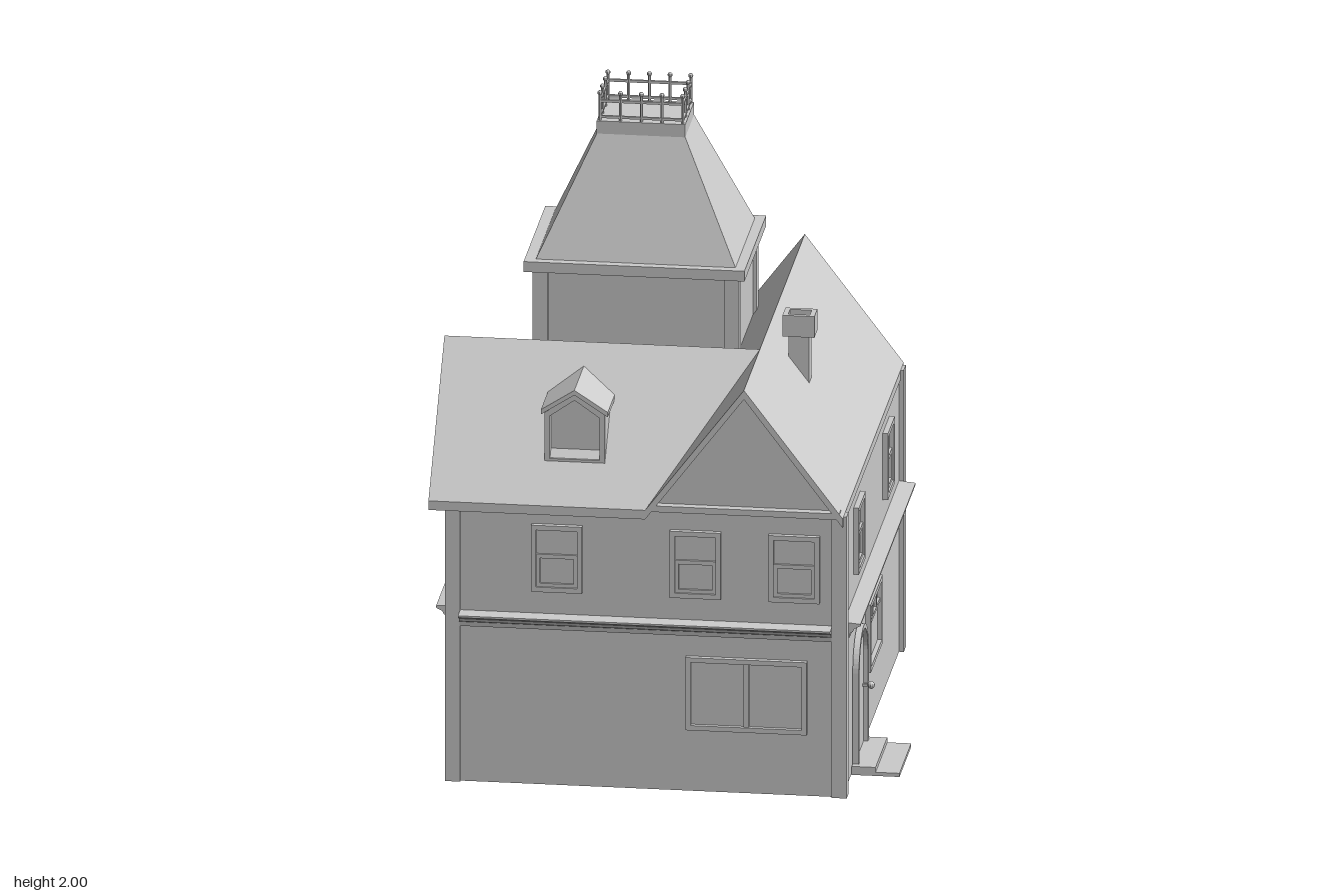
import * as THREE from 'three';

const mat = new THREE.MeshStandardMaterial({ color: 0xcccccc, flatShading: true, side: THREE.DoubleSide });
const SIDES = { front: 0, right: Math.PI / 2, back: Math.PI, left: -Math.PI / 2 };

function mesh(parent, name, geo) {
  const m = new THREE.Mesh(geo, mat);
  m.name = name;
  parent.add(m);
  return m;
}
// Box given by its limits
function box(parent, name, x0, x1, y0, y1, z0, z1) {
  const m = mesh(parent, name, new THREE.BoxGeometry(x1 - x0, y1 - y0, z1 - z0));
  m.position.set((x0 + x1) / 2, (y0 + y1) / 2, (z0 + z1) / 2);
  return m;
}
const poly = (pts) => new THREE.Shape(pts.map(([x, y]) => new THREE.Vector2(x, y)));
const rect = (x0, x1, y0, y1) => poly([[x0, y0], [x1, y0], [x1, y1], [x0, y1]]);
const extrude = (shape, depth) => new THREE.ExtrudeGeometry(shape, { depth, bevelEnabled: false, curveSegments: 12 });

// Group on a wall: u runs along the wall, d is the wall's coordinate
function onWall(parent, name, side, u, y, d) {
  const g = new THREE.Group();
  g.name = name;
  g.rotation.y = SIDES[side];
  if (side === 'front' || side === 'back') g.position.set(u, y, d);
  else g.position.set(d, y, u);
  parent.add(g);
  return g;
}
// Flat sloping slab with vertical thickness t
function slab(parent, name, pts, t = 0.03) {
  const v = pts.map((p) => new THREE.Vector3(...p));
  const n = v[1].clone().sub(v[0]).cross(v[2].clone().sub(v[0]));
  if (n.y < 0) v.reverse();
  const low = v.map((p) => p.clone().setY(p.y - t));
  const tri = [];
  for (let i = 0; i < v.length; i++) {
    const j = (i + 1) % v.length;
    if (i > 0 && j > 0) tri.push(v[0], v[i], v[j], low[0], low[j], low[i]);
    tri.push(v[i], low[i], low[j], v[i], low[j], v[j]);
  }
  const geo = new THREE.BufferGeometry().setFromPoints(tri);
  geo.computeVertexNormals();
  return mesh(parent, name, geo);
}
// Window with frame; bars are [x0, x1, y0, y1] as fractions of the opening
function windowUnit(parent, name, side, u, y0, y1, w, d, bars) {
  const g = onWall(parent, name, side, u, y0, d), h = y1 - y0, b = 0.016;
  const frame = rect(-w / 2, w / 2, 0, h);
  frame.holes.push(rect(-w / 2 + b, w / 2 - b, b, h - b));
  mesh(g, 'windowFrame', extrude(frame, 0.017));
  box(g, 'pane', -w / 2 + b, w / 2 - b, b, h - b, -0.005, 0.003);
  const X = (f) => -w / 2 + b + f * (w - 2 * b), Y = (f) => b + f * (h - 2 * b);
  for (const [x, x2, y, y2] of bars) box(g, 'windowBar', X(x), X(x2), Y(y), Y(y2), 0, 0.011);
}
const SASH = [[0, 1, 0.5, 0.57], [0, 0.09, 0, 0.5], [0.91, 1, 0, 0.5], [0.09, 0.91, 0, 0.06]];
const TWO = [[0.475, 0.525, 0, 1]];
const LIGHTS = [[0, 1, 0.66, 0.72], [0.32, 0.35, 0.72, 1], [0.65, 0.68, 0.72, 1]];
const THREE_PANES = [[0.31, 0.35, 0, 1], [0.65, 0.69, 0, 1]];
const TALL = [[0.46, 0.54, 0, 1], [0, 1, 0.66, 0.71]];

// Crown moulding along a wall
function ledge(parent, side, a, b, d, y = 0.56) {
  const g = onWall(parent, 'stringCourse', side, (a + b) / 2, y, d);
  const geo = extrude(poly([[-0.01, -0.045], [0.016, -0.045], [0.018, -0.03], [0.026, -0.026], [0.03, -0.016],
    [0.05, -0.006], [0.05, 0], [-0.01, 0.006]]), b - a);
  geo.translate(0, 0, -(b - a) / 2).rotateY(-Math.PI / 2);
  mesh(g, 'moulding', geo);
}
function archShape(w, h) {
  const s = new THREE.Shape(), r = w / 2;
  s.moveTo(-r, 0);
  s.lineTo(r, 0);
  s.lineTo(r, h - r);
  s.absarc(0, h - r, r, 0, Math.PI);
  s.lineTo(-r, 0);
  return s;
}
function door(parent, side, u, d) {
  const g = onWall(parent, 'door', side, u, 0, d);
  const frame = archShape(0.235, 0.445);
  frame.holes.push(archShape(0.2, 0.43));
  mesh(g, 'doorFrame', extrude(frame, 0.02));
  mesh(g, 'doorLeaf', extrude(archShape(0.2, 0.43), 0.006));
  const knob = mesh(g, 'doorKnob', new THREE.SphereGeometry(0.012, 10, 8));
  knob.position.set(0.082, 0.22, 0.032);
  box(g, 'knobStem', 0.078, 0.086, 0.216, 0.224, 0, 0.03);
  box(g, 'upperStep', -0.14, 0.14, 0, 0.028, 0, 0.075);
  box(g, 'lowerStep', -0.14, 0.14, 0, 0.012, 0.07, 0.15);
}

export function createModel() {
  const house = new THREE.Group();
  house.name = 'house';

  // Walls: two gabled wings and the tower
  const main = mesh(house, 'mainWingWalls', extrude(
    poly([[-0.035, 0], [0.575, 0], [0.575, 0.91], [0.27, 1.315], [-0.035, 0.91]]), 1.4));
  main.position.z = -0.7;
  const side = mesh(house, 'sideWingWalls', extrude(
    poly([[-0.7, 0], [0.01, 0], [0.01, 0.92], [-0.345, 1.315], [-0.7, 0.92]]), 0.9));
  side.rotation.y = Math.PI / 2;
  side.position.x = -0.655;
  box(house, 'towerWalls', -0.475, 0.148, 0, 1.45, -0.458, -0.008);

  // Corner posts, given by centre and height
  const posts = [[-0.647, 0.686, 0.93], [0.566, 0.686, 0.93], [0.566, -0.686, 0.93], [-0.024, -0.686, 0.93],
    [-0.647, 0.004, 0.93], [-0.464, -0.445, 1.45], [0.136, -0.445, 1.45], [-0.464, -0.022, 1.45], [0.136, -0.022, 1.45]];
  for (const [x, z, h] of posts) box(house, 'cornerPost', x - 0.024, x + 0.024, 0, h, z - 0.024, z + 0.024);

  // String courses
  ledge(house, 'front', -0.625, 0.543, 0.695);
  ledge(house, 'right', -0.662, 0.662, 0.577);
  ledge(house, 'back', 0, 0.543, -0.695);
  ledge(house, 'left', -0.662, -0.46, -0.033);
  ledge(house, 'left', 0.028, 0.662, -0.655);
  for (const y of [0.56, 1.07]) {
    ledge(house, 'back', -0.44, 0.11, -0.462, y);
    ledge(house, 'left', -0.42, -0.045, -0.477, y);
  }
  ledge(house, 'front', -0.44, 0.11, 0, 1.07);

  // Crossing gable roofs
  slab(house, 'mainRoofRight', [[0.27, 1.34, 0.73], [0.58, 0.93, 0.73], [0.58, 0.93, -0.735], [0.27, 1.34, -0.735]]);
  slab(house, 'mainRoofLeft', [[0.27, 1.34, 0.73], [-0.04, 0.93, 0.73], [-0.04, 0.93, -0.735], [0.27, 1.34, -0.735]]);
  slab(house, 'sideRoofFront', [[-0.72, 0.93, 0.73], [-0.04, 0.93, 0.73], [0.27, 1.34, 0.345], [-0.72, 1.34, 0.345]]);
  slab(house, 'sideRoofBack', [[-0.72, 0.93, -0.04], [-0.04, 0.93, -0.04], [0.27, 1.34, 0.345], [-0.72, 1.34, 0.345]]);
  box(house, 'gableSill', -0.03, 0.57, 0.925, 0.945, 0.69, 0.728);

  // Windows
  for (const x of [-0.32, 0.115, 0.425]) windowUnit(house, 'sashWindow', 'front', x, 0.64, 0.86, 0.16, 0.7, SASH);
  for (const x of [0.115, 0.425]) windowUnit(house, 'sashWindow', 'back', x, 0.64, 0.86, 0.16, -0.7, SASH);
  for (const z of [-0.35, 0.35]) windowUnit(house, 'sashWindow', 'right', z, 0.64, 0.86, 0.16, 0.575, SASH);
  windowUnit(house, 'sashWindow', 'left', -0.58, 0.64, 0.86, 0.13, -0.035, SASH);
  windowUnit(house, 'wideWindow', 'front', 0.275, 0.205, 0.445, 0.38, 0.7, TWO);
  windowUnit(house, 'wideWindow', 'back', 0.275, 0.205, 0.445, 0.38, -0.7, TWO);
  windowUnit(house, 'kitchenWindow', 'right', 0.002, 0.215, 0.44, 0.285, 0.575, LIGHTS);
  windowUnit(house, 'wideWindow', 'left', 0.345, 0.2, 0.45, 0.38, -0.655, THREE_PANES);
  windowUnit(house, 'tallWindow', 'left', 0.345, 0.63, 0.92, 0.2, -0.655, TALL);
  windowUnit(house, 'tallWindow', 'left', -0.235, 0.62, 0.93, 0.17, -0.475, TALL);
  windowUnit(house, 'tallWindow', 'left', -0.235, 1.1, 1.35, 0.17, -0.475, TALL);
  const round = onWall(house, 'roundWindow', 'left', 0.345, 1.1, -0.655);
  mesh(round, 'roundFrame', new THREE.TorusGeometry(0.062, 0.012, 8, 24));
  box(round, 'windowBar', -0.06, 0.06, -0.004, 0.004, 0, 0.008);
  box(round, 'windowBar', -0.004, 0.004, -0.06, 0.06, 0, 0.008);

  // Doors
  door(house, 'right', 0.35, 0.577);
  door(house, 'left', -0.235, -0.477);

  // Porch
  const porch = new THREE.Group();
  porch.name = 'porch';
  house.add(porch);
  for (const s of [-1, 1]) {
    const z = -0.235 + s * 0.195, e = -0.235 + s * 0.22;
    box(porch, 'pillarBase', -0.687, -0.58, 0, 0.1, z - 0.054, z + 0.054);
    box(porch, 'pillar', -0.664, -0.604, 0.1, 0.52, z - 0.03, z + 0.03);
    box(porch, 'porchBeam', -0.664, -0.47, 0.48, 0.52, z - 0.025, z + 0.025);
    slab(porch, 'porchRoof', [[-0.725, 0.665, -0.235], [-0.47, 0.665, -0.235], [-0.47, 0.52, e], [-0.725, 0.52, e]], 0.022);
  }
  const gable = onWall(porch, 'porchGable', 'left', -0.235, 0, -0.68);
  mesh(gable, 'gablePanel', extrude(poly([[-0.2, 0.5], [0.2, 0.5], [0, 0.645]]), 0.015));

  // Dormer
  const dormer = onWall(house, 'dormer', 'front', -0.275, 0, 0.4);
  const outline = (w, y0, y1, y2) => poly([[-w, y0], [w, y0], [w, y1], [0, y2], [-w, y1]]);
  const shell = outline(0.095, 1.03, 1.2, 1.268);
  shell.holes.push(outline(0.078, 1.05, 1.19, 1.245));
  mesh(dormer, 'dormerWalls', extrude(shell, 0.225));
  mesh(dormer, 'dormerPane', extrude(outline(0.079, 1.045, 1.19, 1.246), 0.195));
  for (const s of [-1, 1])
    slab(dormer, 'dormerRoof', [[0, 1.28, 0], [0, 1.28, 0.23], [s * 0.105, 1.212, 0.23], [s * 0.105, 1.212, 0]], 0.016);

  // Chimney
  box(house, 'chimneyStack', 0.335, 0.4, 1.1, 1.33, 0.095, 0.155);
  const cap = rect(-0.05, 0.05, -0.036, 0.036);
  cap.holes.push(rect(-0.034, 0.034, -0.022, 0.022));
  const capMesh = mesh(house, 'chimneyCap', extrude(cap, 0.07));
  capMesh.rotation.x = -Math.PI / 2;
  capMesh.position.set(0.367, 1.32, 0.125);

  // Tower cornice, roof and railing
  box(house, 'towerCornice', -0.513, 0.18, 1.448, 1.482, -0.493, 0.028);
  const roof = mesh(house, 'towerRoof', new THREE.BoxGeometry(1, 1, 1, 1, 2, 1));
  const levels = { '-0.5': [1.48, 0.314, 0.233], '0': [1.86, 0.139, 0.106], '0.5': [1.902, 0.139, 0.106] };
  const p = roof.geometry.attributes.position;
  for (let i = 0; i < p.count; i++) {
    const [y, hx, hz] = levels[String(p.getY(i))];
    p.setXYZ(i, Math.sign(p.getX(i)) * hx, y, Math.sign(p.getZ(i)) * hz);
  }
  roof.geometry.computeVertexNormals();
  roof.position.set(-0.165, 0, -0.233);

  const railing = new THREE.Group();
  railing.name = 'towerRailing';
  railing.position.set(-0.165, 1.9, -0.233);
  house.add(railing);
  const rx = 0.13, rz = 0.097;
  const spike = (x, z) => {
    mesh(railing, 'railPost', new THREE.CylinderGeometry(0.005, 0.005, 0.092, 6)).position.set(x, 0.046, z);
    mesh(railing, 'postTip', new THREE.SphereGeometry(0.008, 8, 6)).position.set(x, 0.092, z);
  };
  for (const s of [-1, 1]) {
    for (let i = -2; i <= 2; i++) spike((i / 2) * rx, s * rz);
    for (const z of [-0.034, 0.034]) spike(s * rx, z);
    for (const y of [0.014, 0.066]) {
      box(railing, 'rail', -rx, rx, y - 0.004, y + 0.004, s * rz - 0.004, s * rz + 0.004);
      box(railing, 'rail', s * rx - 0.004, s * rx + 0.004, y - 0.004, y + 0.004, -rz, rz);
    }
  }
  return house;
}
